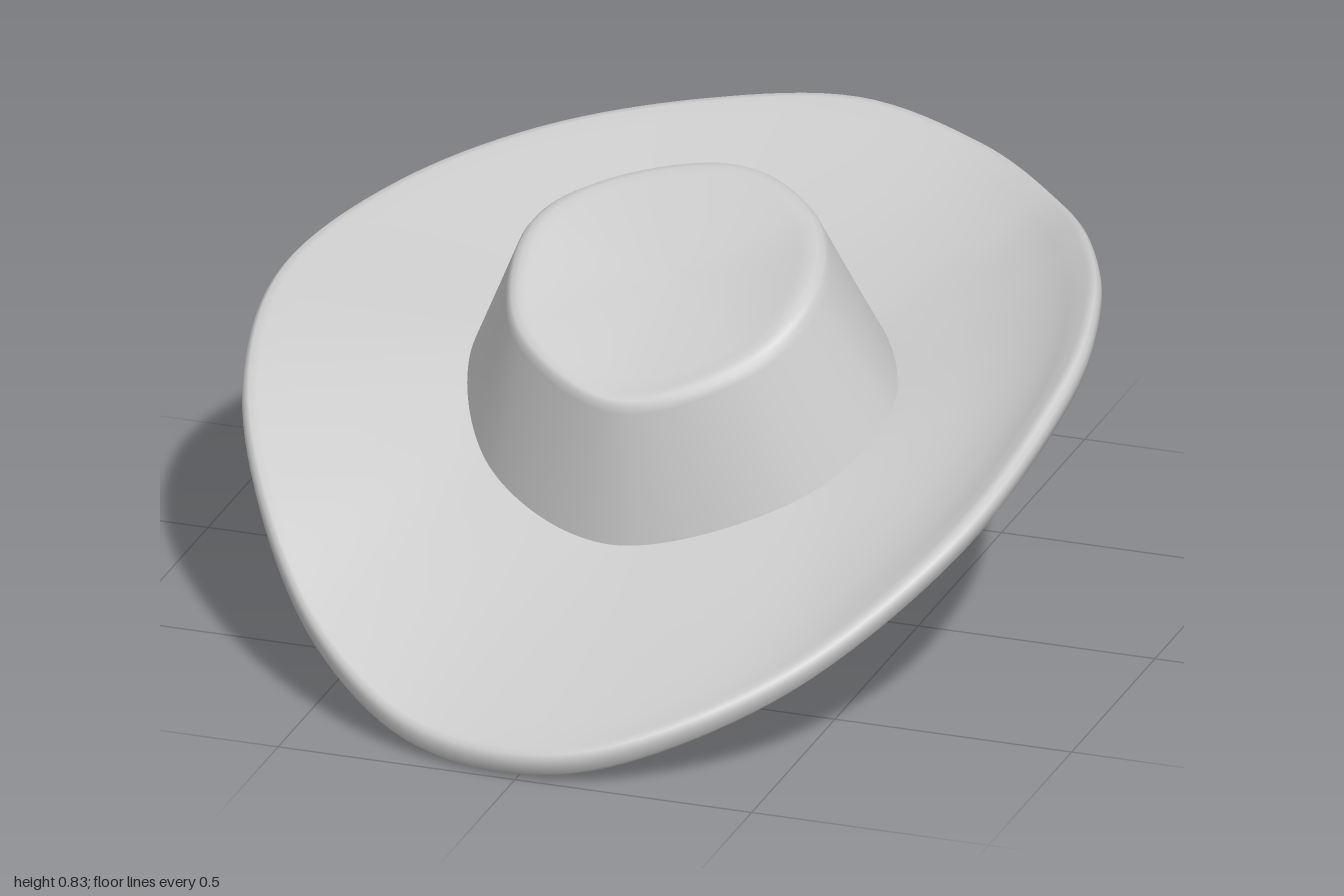
import * as THREE from 'three';

const SEGMENTS = 144;
const material = new THREE.MeshStandardMaterial({ color: 0xcccccc, side: THREE.DoubleSide });

// Closed smooth ring through control points, running front, left, back, right
function ring(points) {
  const curve = new THREE.CatmullRomCurve3(
    points.map((p) => new THREE.Vector3(...p)), true, 'catmullrom', 0.5);
  return Array.from({ length: SEGMENTS }, (_, i) => curve.getPoint(i / SEGMENTS));
}

const point = (x, y, z) => Array.from({ length: SEGMENTS }, () => new THREE.Vector3(x, y, z));
const blend = (a, b, t) => a.map((p, i) => p.clone().lerp(b[i], t));
// Pull a ring inward horizontally, then raise it
const inset = (a, s, dy, cz = 0) =>
  a.map((p) => new THREE.Vector3(p.x * s, p.y + dy, cz + (p.z - cz) * s));

// Ring between crown and edge, sagging a little on the upturned left side
const brimRing = (inner, outer, t) => blend(inner, outer, t).map((p) =>
  p.setY(p.y - 0.16 * t * (1 - t) * Math.max(0, p.x) ** 2 / 0.5));

// Smooth skin over successive rings
function loft(name, rings) {
  const positions = rings.flat().flatMap((p) => [p.x, p.y, p.z]);
  const index = [];
  for (let r = 0; r < rings.length - 1; r++) {
    for (let i = 0; i < SEGMENTS; i++) {
      const j = (i + 1) % SEGMENTS;
      const a = r * SEGMENTS + i, b = a + SEGMENTS;
      const d = r * SEGMENTS + j, c = d + SEGMENTS;
      index.push(a, b, c, a, c, d);
    }
  }
  const geometry = new THREE.BufferGeometry();
  geometry.setAttribute('position', new THREE.Float32BufferAttribute(positions, 3));
  geometry.setIndex(index);
  geometry.computeVertexNormals();
  const mesh = new THREE.Mesh(geometry, material);
  mesh.name = name;
  return mesh;
}

export function createModel() {
  const hat = new THREE.Group();
  hat.name = 'wideBrimHat';

  // Outer edge of the brim, drooping at the front
  const edge = ring([
    [0.03, 0.062, 0.998], [0.28, 0.12, 0.935], [0.55, 0.25, 0.76], [0.78, 0.455, 0.50],
    [0.88, 0.64, 0.17], [0.84, 0.705, -0.13], [0.72, 0.70, -0.42], [0.56, 0.67, -0.67],
    [0.33, 0.665, -0.89], [0.03, 0.68, -0.998], [-0.27, 0.67, -0.91], [-0.55, 0.65, -0.71],
    [-0.76, 0.615, -0.42], [-0.875, 0.56, -0.08], [-0.835, 0.475, 0.26], [-0.70, 0.34, 0.55],
    [-0.50, 0.18, 0.79], [-0.25, 0.075, 0.95],
  ]);

  // Line where the crown meets the brim
  const base = ring([
    [0.02, 0.295, 0.47], [0.36, 0.385, 0.34], [0.475, 0.50, 0.08], [0.30, 0.54, -0.28],
    [0.02, 0.55, -0.44], [-0.28, 0.535, -0.32], [-0.43, 0.50, 0], [-0.29, 0.365, 0.33],
  ]);

  // Upper rim of the crown, sloping down to the front
  const top = ring([
    [0.02, 0.595, 0.465], [0.26, 0.66, 0.35], [0.342, 0.75, 0.15], [0.245, 0.79, -0.13],
    [0.03, 0.81, -0.28], [-0.21, 0.79, -0.18], [-0.31, 0.765, 0.06], [-0.235, 0.665, 0.33],
  ]);

  // Crown: tilted, shallow dished top, rounded rim, flared wall
  const rim = inset(top, 0.88, 0.018, 0.1);
  const dish = (t) => blend(point(0.02, 0, 0.1), rim, t).map((p, i) => {
    const plane = 0.735 - 0.29 * (rim[i].z - 0.1);
    return p.setY(0.735 + t * (plane - 0.735) + t * t * (rim[i].y - plane));
  });
  const crown = [0, 0.08, 0.2, 0.35, 0.5, 0.65, 0.8, 0.93, 1].map(dish);
  crown.push(inset(top, 0.935, 0.017, 0.1), inset(top, 0.977, 0.009, 0.1));
  for (const t of [0, 0.06, 0.15, 0.35, 0.6, 0.8, 1]) crown.push(blend(top, base, t));
  hat.add(loft('crown', crown));

  // Brim: upper surface, rolled edge, closed underside
  const lip = inset(edge, 0.965, 0);
  const under = inset(edge, 0.978, -0.06);
  const underBase = inset(base, 1, -0.07);
  const centre = point(0, 0.418, 0);
  const brim = [0, 0.15, 0.35, 0.55, 0.75, 0.9].map((t) => brimRing(base, lip, t));
  brim.push(lip, inset(edge, 0.985, 0), inset(edge, 0.996, -0.009),
    inset(edge, 1, -0.025), inset(edge, 0.994, -0.05));
  for (const t of [1, 0.9, 0.7, 0.5, 0.3, 0.1]) brim.push(brimRing(underBase, under, t));
  for (const t of [0, 0.15, 0.35, 0.6, 0.85, 1]) brim.push(blend(underBase, centre, t));
  hat.add(loft('brim', brim));

  return hat;
}
